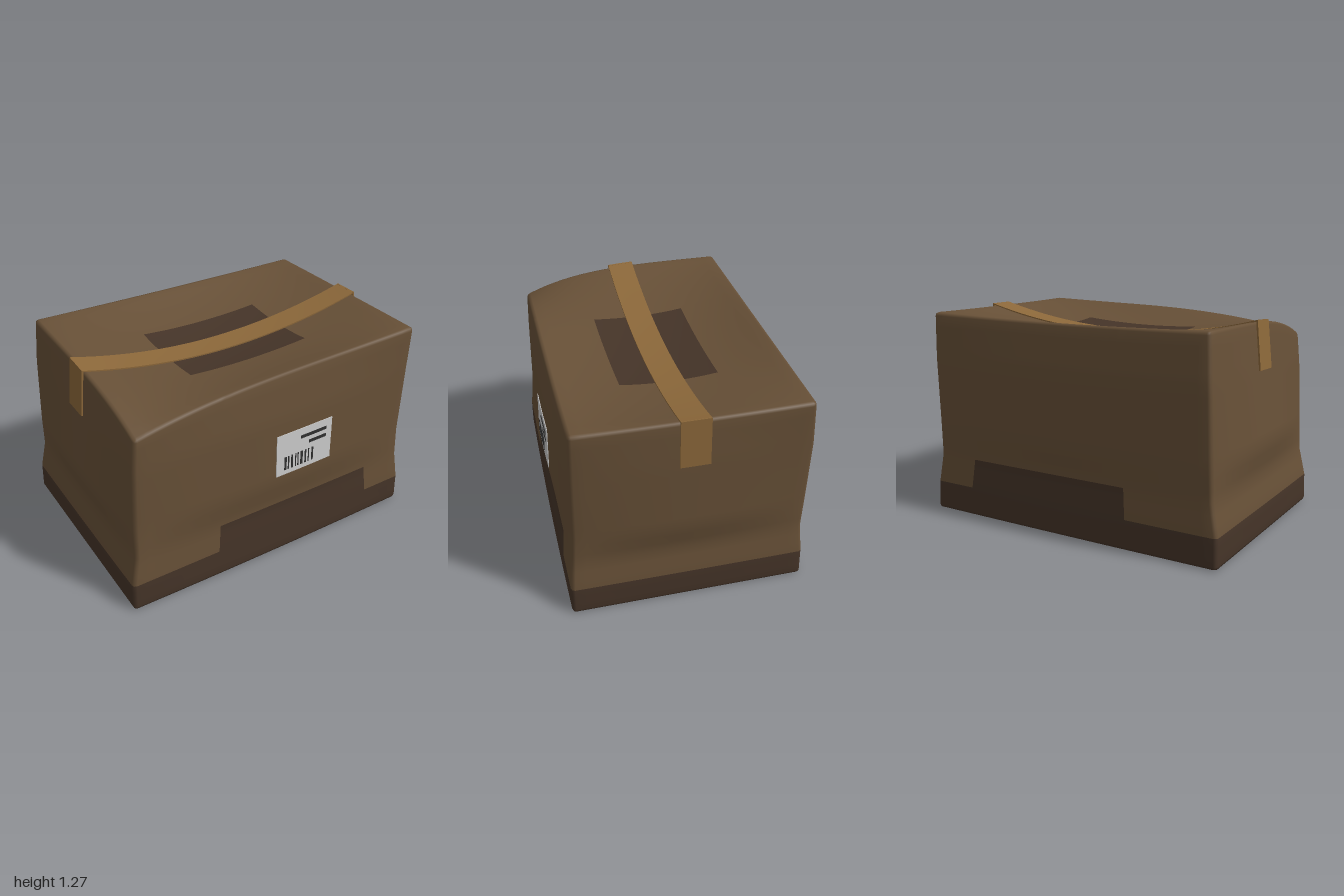
import * as THREE from 'three';
import { mergeVertices } from 'three/addons/utils/BufferGeometryUtils.js';

const W = 0.98, H = 1.26, D = 0.68, R = 0.022;
const cardboard = new THREE.MeshStandardMaterial({ color: 0x675037 });
const stain = new THREE.MeshStandardMaterial({ color: 0x453428 });
const tapeMat = new THREE.MeshStandardMaterial({ color: 0x8c683a });
const paper = new THREE.MeshStandardMaterial({ color: 0xcccccc });
const ink = new THREE.MeshStandardMaterial({ color: 0x303030 });

// Wall distances at each height: at the corners and at the middle of the wall
const levels = [0, 0.18, 0.36, 0.55, 0.98, 1.26];
const walls = {
  left: [[0.975, 0.968, 0.942, 0.94, 0.955, 0.97], [0.975, 0.97, 0.945, 0.98, 0.982, 0.975]],
  right: [[1, 0.995, 0.958, 0.952, 0.935, 0.915], [1, 0.997, 0.963, 0.995, 0.95, 0.92]],
  front: [[0.69, 0.688, 0.672, 0.66, 0.655, 0.65], [0.70, 0.692, 0.68, 0.708, 0.695, 0.66]],
  back: [[0.705, 0.70, 0.685, 0.69, 0.688, 0.665], [0.71, 0.702, 0.687, 0.71, 0.702, 0.672]],
};

function at(list, y) {
  let i = 0;
  while (i < levels.length - 2 && y > levels[i + 1]) i++;
  return THREE.MathUtils.lerp(list[i], list[i + 1], (y - levels[i]) / (levels[i + 1] - levels[i]));
}

const wall = (name, y, t) => THREE.MathUtils.lerp(at(walls[name][0], y), at(walls[name][1], y), 1 - t * t);

// Moves a point of a plain box onto the dented, sagging box
function dent(x, y, z) {
  const u = x / W, v = y / H, w = z / D;
  const sag = 0.125 * (1 - u * u) * (1 - w * w) + 0.008 * (1 - u * u);
  const crush = 0.15 * Math.pow((1 - u) / 2, 3.6) * Math.pow((1 + w) / 2, 4);
  return new THREE.Vector3(
    u * wall(u > 0 ? 'left' : 'right', y, w),
    y - (sag + crush) * v ** 3,
    w * wall(w > 0 ? 'front' : 'back', y, u));
}

// Grid lines through the given stops, each gap divided evenly
function gridLines(stops, step) {
  const out = [stops[0]];
  for (let i = 1; i < stops.length; i++) {
    const a = stops[i - 1], n = Math.max(1, Math.round((stops[i] - a) / step));
    for (let k = 1; k <= n; k++) out.push(a + (stops[i] - a) * k / n);
  }
  return out;
}

// Carton in two colours: clean board, and the dark lower band with its patches
function addCarton(group) {
  const xs = gridLines([-W, -W + R, -0.425, -0.39, 0.44, 0.69, W - R, W], 0.06);
  const ys = gridLines([0, R, 0.18, 0.36, 0.55, 0.98, H - R, H], 0.06);
  const zs = gridLines([-D, -D + R, -0.295, 0.29, D - R, D], 0.06);
  let geo = new THREE.BoxGeometry(2, 2, 2, xs.length - 1, ys.length - 1, zs.length - 1);
  geo.deleteAttribute('uv');
  geo.deleteAttribute('normal');
  geo = mergeVertices(geo);
  const pos = geo.attributes.position, flat = [];
  const pick = (lines, c) => lines[Math.round((c + 1) / 2 * (lines.length - 1))];
  const p = new THREE.Vector3(), core = new THREE.Vector3();
  const lo = new THREE.Vector3(-W + R, R, -D + R), hi = new THREE.Vector3(W - R, H - R, D - R);
  for (let i = 0; i < pos.count; i++) {
    p.set(pick(xs, pos.getX(i)), pick(ys, pos.getY(i)), pick(zs, pos.getZ(i)));
    flat.push(p.clone());
    core.copy(p).clamp(lo, hi);
    p.sub(core).setLength(R).add(core);
    const q = dent(p.x, p.y, p.z);
    pos.setXYZ(i, q.x, q.y, q.z);
  }
  geo.computeVertexNormals();

  const clean = [], dark = [], idx = geo.index.array, c = new THREE.Vector3();
  for (let i = 0; i < idx.length; i += 3) {
    const tri = [idx[i], idx[i + 1], idx[i + 2]];
    c.set(0, 0, 0);
    tri.forEach(k => c.add(flat[k]));
    c.divideScalar(3);
    const band = c.y < 0.18;
    const sidePatch = Math.abs(c.z) > D - 1e-4 && c.y < 0.36 && c.x > -0.425 && c.x < 0.69;
    const topPatch = c.y > H - 1e-4 && c.x > -0.39 && c.x < 0.44 && c.z > -0.295 && c.z < 0.29;
    (band || sidePatch || topPatch ? dark : clean).push(...tri);
  }
  for (const [name, list, mat] of [['carton', clean, cardboard], ['darkPatches', dark, stain]]) {
    const g = geo.clone();
    g.setIndex(list);
    const mesh = new THREE.Mesh(g, mat);
    mesh.name = name;
    group.add(mesh);
  }
}

// Thin slab whose points (a, height, b) are placed by a rule
function slab(name, mat, nx, nz, place) {
  const geo = new THREE.BoxGeometry(1, 1, 1, nx, 1, nz);
  const pos = geo.attributes.position;
  for (let i = 0; i < pos.count; i++) {
    const q = place(pos.getX(i) + 0.5, pos.getY(i) + 0.5, pos.getZ(i) + 0.5);
    pos.setXYZ(i, q.x, q.y, q.z);
  }
  geo.computeVertexNormals();
  const mesh = new THREE.Mesh(geo, mat);
  mesh.name = name;
  return mesh;
}

// Flat piece stuck to the front wall, x0..x1 by y0..y1
function sticker(name, mat, x0, x1, y0, y1, lift) {
  return slab(name, mat, 6, 6, (a, h, b) => {
    const q = dent(x0 + (x1 - x0) * a, y1 + (y0 - y1) * b, D);
    // the slab's upper side faces forward
    q.z += lift * h + 0.001;
    return q;
  });
}

export function createModel() {
  const group = new THREE.Group();
  group.name = 'carton box';
  addCarton(group);

  // Packing tape along the top, folded down over both ends
  const tape = new THREE.Group();
  tape.name = 'tape';
  const zAt = b => -0.09 + 0.17 * b;
  tape.add(slab('tapeTop', tapeMat, 32, 2, (a, h, b) => {
    const q = dent(-W + 2 * W * a, H, zAt(b));
    q.x += 0.012 * (2 * a - 1);
    q.y += 0.002 + 0.008 * h;
    return q;
  }));
  tape.add(slab('tapeEndLeft', tapeMat, 8, 2, (a, h, b) => {
    const q = dent(W, H - 0.28 * a, zAt(b));
    q.x += 0.002 + 0.01 * h;
    q.y += 0.008 * (1 - a);
    return q;
  }));
  tape.add(slab('tapeEndRight', tapeMat, 8, 2, (a, h, b) => {
    const q = dent(-W, H - 0.28 * (1 - a), zAt(b));
    q.x -= 0.002 + 0.01 * h;
    q.y += 0.008 * a;
    return q;
  }));
  group.add(tape);

  // Shipping label with plain lines and bars
  const label = new THREE.Group();
  label.name = 'label';
  label.add(sticker('labelPaper', paper, -0.057, 0.355, 0.588, 0.868, 0.004));
  label.add(sticker('labelLine', ink, 0.118, 0.31, 0.80, 0.82, 0.007));
  label.add(sticker('labelLine', ink, 0.182, 0.31, 0.75, 0.77, 0.007));
  const bars = [[0, 0.015], [0.026, 0.008], [0.05, 0.012], [0.08, 0.006], [0.098, 0.006],
    [0.12, 0.016], [0.152, 0.01], [0.178, 0.006], [0.204, 0.012]];
  for (const [x, w] of bars) label.add(sticker('labelBar', ink, x, x + w, 0.62, 0.71, 0.007));
  group.add(label);
  return group;
}
